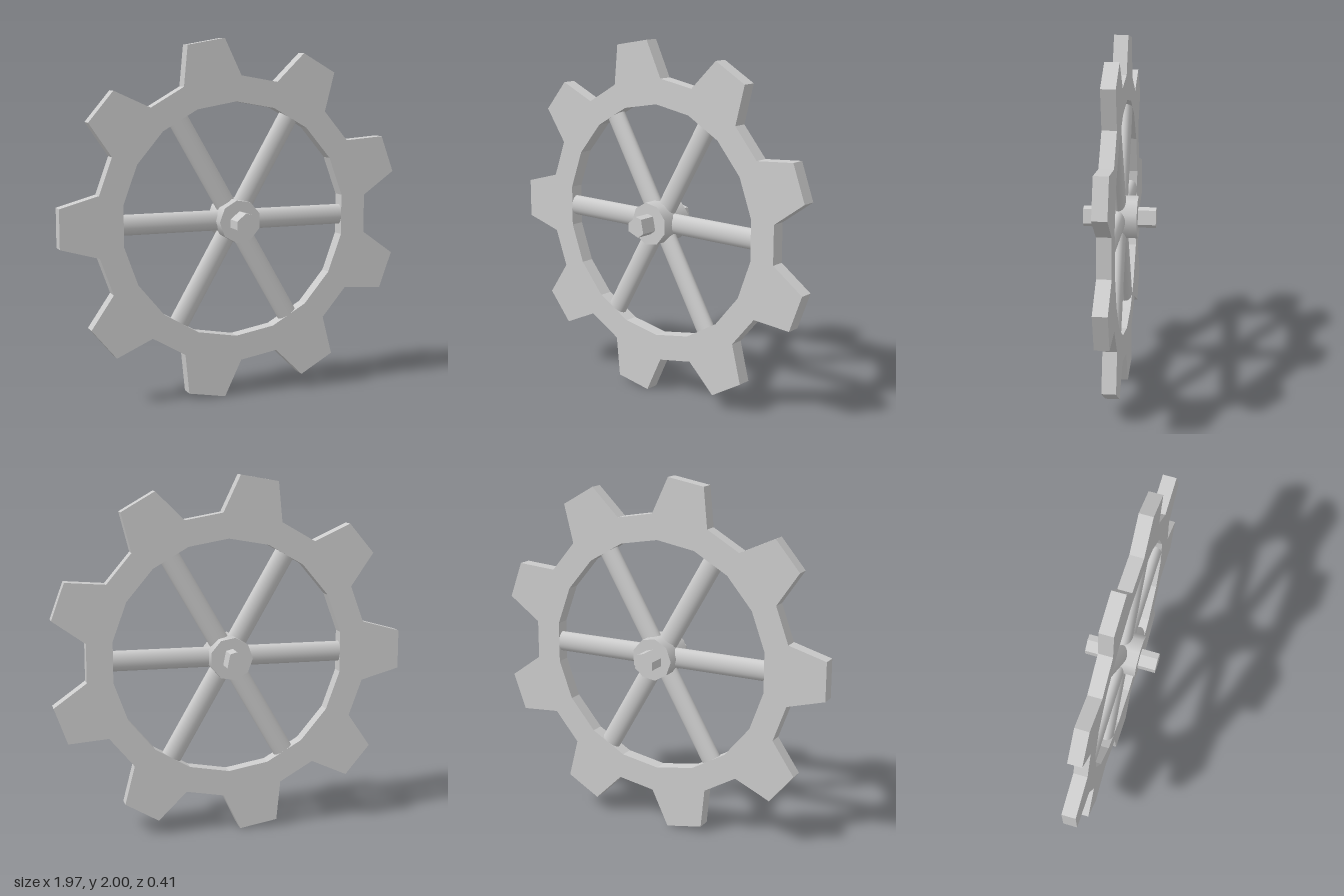
import * as THREE from 'three';

const CX = 0.01, CY = 1;
const polar = (r, deg) => {
  const a = THREE.MathUtils.degToRad(deg);
  return new THREE.Vector2(r * Math.cos(a), r * Math.sin(a));
};

// Prism centred on z = 0
function prism(shape, depth) {
  const g = new THREE.ExtrudeGeometry(shape, { depth, bevelEnabled: false });
  return g.translate(0, 0, -depth / 2);
}

export function createModel() {
  const wheel = new THREE.Group();
  wheel.name = 'spokedGear';
  wheel.position.set(CX, CY, 0);
  const flat = new THREE.MeshStandardMaterial({ color: 0xcccccc, flatShading: true });
  const smooth = new THREE.MeshStandardMaterial({ color: 0xcccccc });

  const add = (name, geometry, material, parent = wheel) => {
    const mesh = new THREE.Mesh(geometry, material);
    mesh.name = name;
    parent.add(mesh);
    return mesh;
  };

  // Toothed rim: nine tapered teeth, one pointing to -x
  const outline = [];
  for (let i = 0; i < 9; i++) {
    const mid = 20 + i * 40;
    outline.push(polar(0.798, mid - 12.2), polar(1.002, mid - 6.2),
      polar(1.002, mid + 6.2), polar(0.798, mid + 12.2));
  }
  const rim = new THREE.Shape(outline);
  const bore = [];
  for (let i = 0; i < 18; i++) bore.push(polar(0.656, 10 + i * 20));
  rim.holes.push(new THREE.Path(bore));
  add('toothedRim', prism(rim, 0.078), flat);

  // Six spokes, oval in section so they stay within the rim's thickness
  const spokes = new THREE.Group();
  spokes.name = 'spokes';
  wheel.add(spokes);
  const spokeGeometry = new THREE.CylinderGeometry(0.057, 0.057, 0.648, 24)
    .scale(1, 1, 0.039 / 0.057)
    .translate(0, 0.324, 0);
  for (let i = 0; i < 6; i++) {
    add('spoke', spokeGeometry, smooth, spokes).rotation.z = -Math.PI / 2 + i * Math.PI / 3;
  }

  // Nine-sided hub
  const hub = new THREE.CylinderGeometry(0.12, 0.12, 0.205, 9, 1, false, Math.PI * 1.5)
    .rotateX(Math.PI / 2);
  add('hub', hub, smooth);

  // Roughly cut axle running through the hub
  const axle = new THREE.Shape([
    [-0.058, 0.016], [-0.058, -0.03], [0.01, -0.056],
    [0.048, -0.03], [0.032, 0.048], [-0.006, 0.058],
  ].map(([x, y]) => new THREE.Vector2(x, y)));
  add('axle', prism(axle, 0.405), flat);

  const model = new THREE.Group();
  model.name = 'model';
  model.add(wheel);
  return model;
}
